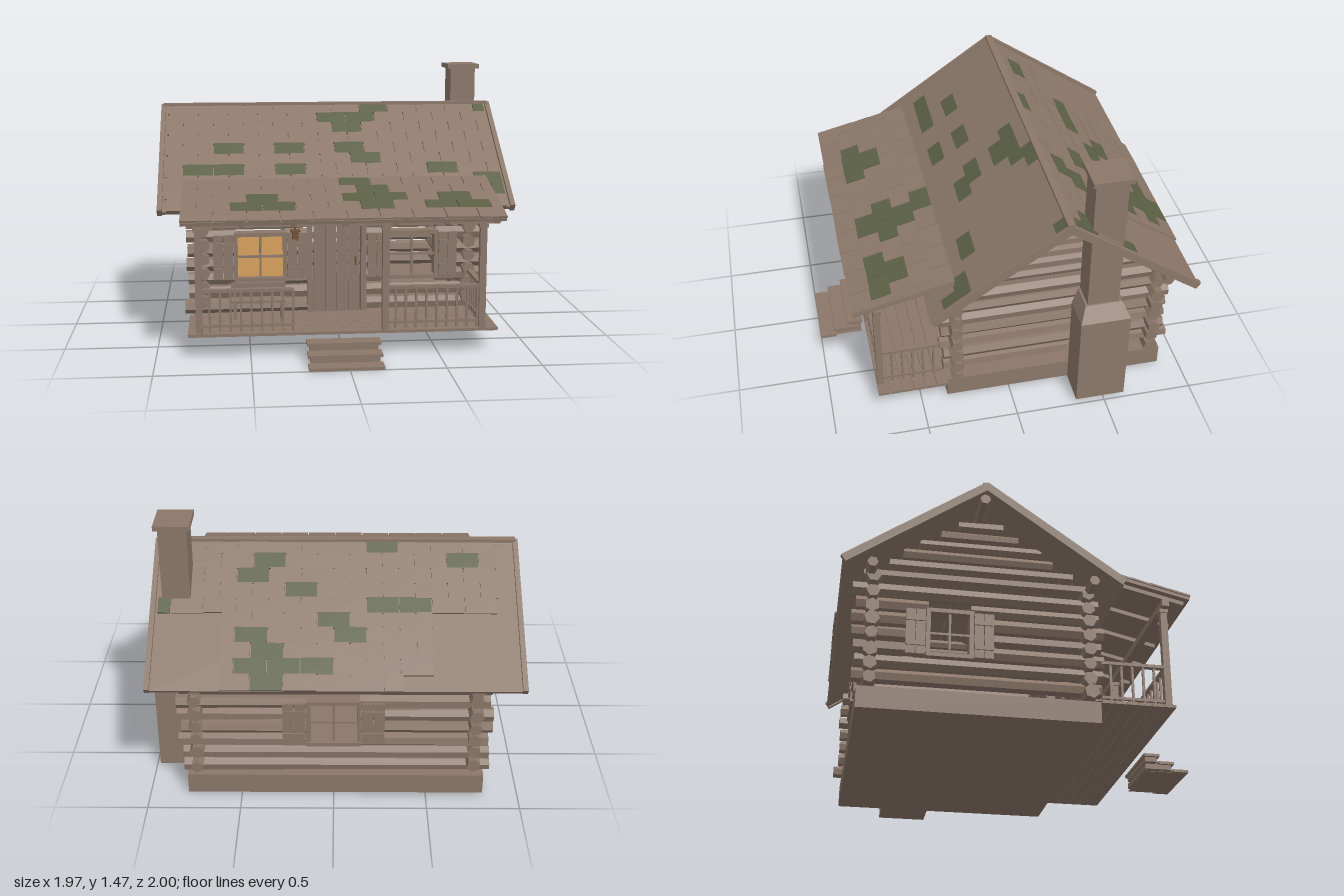
import * as THREE from 'three';
import { mergeGeometries } from 'three/addons/utils/BufferGeometryUtils.js';

const wood = new THREE.MeshStandardMaterial({ color: 0x8b7769 });
const moss = new THREE.MeshStandardMaterial({ color: 0x5b6045 });
const glow = new THREE.MeshStandardMaterial({ color: 0xd9a05c });
const brass = new THREE.MeshStandardMaterial({ color: 0x6e5238 });
wood.name = 'weatheredWood'; moss.name = 'moss'; glow.name = 'litGlass'; brass.name = 'agedMetal';

let seed = 7;
const rnd = () => (seed = (seed * 16807) % 2147483647) / 2147483647;
const jit = a => (rnd() - 0.5) * 2 * a;

// Box given by its limits
const box = (x0, x1, y0, y1, z0, z1) =>
  new THREE.BoxGeometry(x1 - x0, y1 - y0, z1 - z0).translate((x0 + x1) / 2, (y0 + y1) / 2, (z0 + z1) / 2);

// One flat-faced mesh from several pieces
function part(parent, name, material, pieces) {
  const geo = mergeGeometries(pieces.map(p => (p.index ? p.toNonIndexed() : p)));
  geo.computeVertexNormals();
  const mesh = new THREE.Mesh(geo, material);
  mesh.name = name;
  parent.add(mesh);
  return mesh;
}

// Rough hewn log from a to b along x or z
function log(axis, a, b, y, other, r) {
  const g = new THREE.CylinderGeometry(r * (1 + jit(0.1)), r * (1 + jit(0.1)), b - a, 6);
  g.rotateY(jit(0.5));
  if (axis === 'x') return g.rotateZ(Math.PI / 2).translate((a + b) / 2, y, other);
  return g.rotateX(Math.PI / 2).translate(other, y, (a + b) / 2);
}

// Stack of logs, cut where an opening [a, b, y0, y1] crosses it
function wall(axis, from, to, other, y0, count, openings) {
  const out = [];
  for (let i = 0; i < count; i++) {
    const y = y0 + i * 0.08;
    let start = from + jit(0.015);
    for (const [a, b, lo, hi] of openings) {
      if (y + 0.02 < lo || y - 0.02 > hi) continue;
      out.push(log(axis, start, a, y, other, 0.037));
      start = b;
    }
    out.push(log(axis, start, to + jit(0.015), y, other, 0.037));
  }
  return out;
}

// Window facing +z, centred on its own origin, with frame, muntins and shutters
function makeWindow(name, w, h, shutter, lit) {
  const g = new THREE.Group();
  g.name = name;
  const x = w / 2, y = h / 2, f = 0.022;
  part(g, 'windowFrame', wood, [
    box(-x - f, -x, -y - f, y + f, -0.03, 0.05), box(x, x + f, -y - f, y + f, -0.03, 0.05),
    box(-x, x, y, y + f, -0.03, 0.05), box(-x - f, x + f, -y - f, -y, -0.03, 0.06),
    box(-0.006, 0.006, -y, y, 0.02, 0.036), box(-x, x, -0.006, 0.006, 0.02, 0.036)]);
  const boards = [];
  for (const s of [-1, 1]) {
    const c = s * (x + f + shutter / 2 + 0.004), q = shutter / 2;
    boards.push(box(c - q, c - 0.002, -y - 0.01, y + 0.01, 0.036, 0.05),
      box(c + 0.002, c + q, -y - 0.01, y + 0.01, 0.036, 0.05));
    for (const v of [-0.6, 0.6]) boards.push(box(c - q, c + q, v * y - 0.012, v * y + 0.012, 0.05, 0.058));
  }
  part(g, 'shutters', wood, boards);
  if (lit) part(g, 'litPane', glow, [box(-x, x, -y, y, 0.012, 0.02)]);
  return g;
}

// Shingled slope: local z runs downhill from the top edge.
// mossAt[row] lists x positions of mossy shingles; range(row) gives the covered span.
function makeSlope(name, x0, x1, length, rows, mossAt, range) {
  const g = new THREE.Group();
  g.name = name;
  part(g, 'roofDeck', wood, [box(x0, x1, -0.026, -0.008, 0, length)]);
  const plain = [], mossy = [], step = length / rows, w = 0.172;
  for (let r = 0; r < rows; r++) {
    const [lo, hi] = range(r);
    for (let k = -7; k < 7; k++) {
      const a = Math.max(lo, (k + (r % 2) / 2) * w), b = Math.min(hi, (k + 1 + (r % 2) / 2) * w);
      if (b - a < 0.03) continue;
      const s = new THREE.BoxGeometry(b - a - 0.006, 0.01, step * 1.05).rotateX(-0.03 + jit(0.01));
      s.rotateX(0.03 + 0.02).translate((a + b) / 2, 0.001 + jit(0.001), (r + 0.5) * step + jit(0.003));
      ((mossAt[r] || []).some(m => m >= a && m < b) ? mossy : plain).push(s);
    }
  }
  part(g, 'shingles', wood, plain);
  part(g, 'mossyShingles', moss, mossy);
  return g;
}

export function createModel() {
  const cabin = new THREE.Group();
  cabin.name = 'logCabin';

  // Foundation, porch deck and steps
  part(cabin, 'foundation', wood, [box(-0.81, 0.79, 0.015, 0.13, -0.88, 0.355)]);
  const planks = [];
  for (let i = 0; i < 6; i++) planks.push(box(-0.83, 0.82, 0.118, 0.134, 0.355 + i * 0.065, 0.417 + i * 0.065));
  part(cabin, 'porchDeck', wood, planks);
  const steps = [];
  for (let i = 0; i < 3; i++) {
    const y = 0.015 + i * 0.042, z = 1 - i * 0.08;
    steps.push(box(-0.21, 0.18, y - 0.015, y, z - 0.09, z));
    steps.push(box(-0.195, 0.165, Math.max(0, y - 0.042), y - 0.015 + 0.002, 0.76, z - 0.012));
  }
  steps.push(box(-0.21, 0.18, 0.084, 0.099, 0.76, 0.84));
  part(cabin, 'steps', wood, steps);

  // Log walls with openings for door and windows
  const frontHoles = [[-0.57, -0.3, 0.33, 0.59], [-0.16, 0.14, 0.13, 0.66], [0.28, 0.55, 0.33, 0.59]];
  part(cabin, 'frontWall', wood, wall('x', -0.84, 0.82, 0.3, 0.17, 8, frontHoles));
  part(cabin, 'backWall', wood, wall('x', -0.84, 0.82, -0.82, 0.17, 8, [[-0.135, 0.135, 0.33, 0.59]]));
  part(cabin, 'leftWall', wood, wall('z', -0.91, 0.38, 0.73, 0.21, 7, []));
  part(cabin, 'rightWall', wood, wall('z', -0.91, 0.38, -0.75, 0.21, 7, [[-0.53, -0.31, 0.33, 0.59]]));
  for (const x of [-0.75, 0.73]) {
    const gable = [];
    for (let i = 0; i < 6; i++) {
      const y = 0.785 + i * 0.066, half = (1.2 - y) / 0.7;
      gable.push(log('z', -0.262 - half + jit(0.02), -0.262 + half + jit(0.02), y, x, 0.031));
    }
    part(cabin, 'gableLogs', wood, gable);
  }

  // Windows
  const windows = [
    makeWindow('litFrontWindow', 0.25, 0.23, 0.11, true), makeWindow('frontWindow', 0.25, 0.23, 0.1, false),
    makeWindow('backWindow', 0.25, 0.23, 0.12, false), makeWindow('sideWindow', 0.2, 0.23, 0.1, false)];
  const places = [[-0.435, 0.3, 0], [0.415, 0.3, 0], [0, -0.82, Math.PI], [-0.75, -0.42, -Math.PI / 2]];
  windows.forEach((w, i) => {
    const [x, z, turn] = places[i];
    w.position.set(x, 0.455, z);
    w.rotation.y = turn;
    cabin.add(w);
  });

  // Door
  const door = [];
  for (let i = 0; i < 4; i++) door.push(box(-0.138 + i * 0.065, -0.076 + i * 0.065, 0.135, 0.63, 0.325, 0.342));
  part(cabin, 'door', wood, door);
  part(cabin, 'doorFrame', wood, [box(-0.175, -0.145, 0.135, 0.63, 0.28, 0.35),
    box(0.127, 0.157, 0.135, 0.63, 0.28, 0.35), box(-0.175, 0.157, 0.63, 0.68, 0.28, 0.355)]);
  part(cabin, 'doorHandle', brass, [box(0.09, 0.1, 0.4, 0.45, 0.342, 0.355)]);
  part(cabin, 'lantern', brass, [box(-0.26, -0.225, 0.56, 0.6, 0.355, 0.39),
    box(-0.27, -0.215, 0.6, 0.61, 0.345, 0.4), box(-0.247, -0.238, 0.61, 0.625, 0.33, 0.38)]);

  // Porch posts, beam and railings
  const posts = [];
  for (const x of [-0.77, 0.215, 0.735])
    posts.push(box(x - 0.018, x + 0.018, 0.134, 0.7, 0.702, 0.738), box(x - 0.024, x + 0.024, 0.68, 0.7, 0.696, 0.744));
  part(cabin, 'porchPosts', wood, posts);
  part(cabin, 'porchBeam', wood, [box(-0.83, 0.815, 0.7, 0.735, 0.7, 0.74)]);
  const rails = [];
  for (const [a, b] of [[-0.77, -0.275], [0.215, 0.735]]) {
    rails.push(box(a, b, 0.355, 0.372, 0.705, 0.735), box(a, b, 0.165, 0.18, 0.712, 0.728));
    for (let x = a + 0.055; x < b + 0.01; x += 0.055) rails.push(box(x - 0.006, x + 0.006, 0.14, 0.36, 0.714, 0.726));
  }
  for (const x of [-0.77, 0.735]) {
    rails.push(box(x - 0.015, x + 0.015, 0.355, 0.372, 0.37, 0.72), box(x - 0.008, x + 0.008, 0.165, 0.18, 0.37, 0.72));
    for (let z = 0.42; z < 0.7; z += 0.058) rails.push(box(x - 0.006, x + 0.006, 0.14, 0.36, z - 0.006, z + 0.006));
  }
  part(cabin, 'railings', wood, rails);

  // Bench
  part(cabin, 'bench', wood, [box(-0.6, -0.3, 0.225, 0.24, 0.38, 0.475), box(-0.6, -0.3, 0.29, 0.32, 0.375, 0.387),
    box(-0.59, -0.57, 0.134, 0.32, 0.378, 0.392), box(-0.33, -0.31, 0.134, 0.32, 0.378, 0.392),
    box(-0.59, -0.57, 0.134, 0.226, 0.45, 0.47), box(-0.33, -0.31, 0.134, 0.226, 0.45, 0.47)]);

  // Main roof
  const run = 0.728, drop = 0.505, pitch = Math.atan2(drop, run), length = Math.hypot(run, drop);
  const frontMoss = [[0.25, 0.9], [0, 0.25], [0.08], [], [-0.6, -0.28, 0.08], [0.2], [-0.76, -0.6, -0.18, 0.6], [0.9], [0.9], [0.1]];
  const backMoss = [[0.27, -0.9], [0.72, -0.42, -0.9], [-0.42], [-0.16], [0.27, 0.44, -0.9], [0],
    [0.09, -0.42], [-0.34], [-0.08, -0.3, -0.45], [-0.34]];
  const front = makeSlope('frontRoof', -0.965, 0.94, length, 10, frontMoss, () => [-0.955, 0.93]);
  const back = makeSlope('backRoof', -0.94, 0.965, length, 10, backMoss,
    r => (r < 5 ? [-0.93, 0.87] : r === 9 ? [-0.59, 0.36] : [-0.59, 0.52]));
  back.rotation.order = 'YXZ';
  back.rotation.y = Math.PI;
  for (const slope of [front, back]) {
    const s = slope === front ? 1 : -1;
    part(slope, 'bargeBoards', wood, [-0.9665 - 0.0125 * s, 0.9665 - 0.0125 * s].map(x =>
      box(x - 0.0135, x + 0.0135, -0.035, 0.008, 0, length)));
    slope.position.set(0, 1.248, -0.265);
    slope.rotation.x = pitch;
    cabin.add(slope);
  }
  part(cabin, 'ridgeCap', wood, [box(-0.98, 0.955, 1.24, 1.258, -0.285, -0.245)]);
  part(cabin, 'roofPurlins', wood, [log('x', -0.94, 0.92, 1.185, -0.265, 0.028),
    log('x', -0.94, 0.92, 0.755, 0.31, 0.028), log('x', -0.94, 0.92, 0.755, -0.835, 0.028)]);

  // Porch roof
  const porchMoss = [[0.09], [0.17], [-0.43, 0.09, 0.22, 0.6], [-0.5, -0.35, 0.17, 0.52, 0.68], []];
  const porch = makeSlope('porchRoof', -0.855, 0.83, 0.55, 5, porchMoss, () => [-0.86, 0.835]);
  const rafters = [];
  for (let i = 0; i < 7; i++) rafters.push(box(-0.82 + i * 0.266, -0.795 + i * 0.266, -0.048, -0.026, 0.02, 0.53));
  part(porch, 'porchRafters', wood, rafters);
  porch.position.set(0, 0.883, 0.315);
  porch.rotation.x = Math.atan2(0.125, 0.535);
  cabin.add(porch);

  // Chimney with sloped shoulder and cap
  const shoulder = box(0.79, 0.98, 0.58, 0.655, -0.618, -0.342);
  const p = shoulder.attributes.position;
  for (let i = 0; i < p.count; i++) {
    if (p.getY(i) < 0.6) continue;
    p.setX(i, p.getX(i) > 0.9 ? 0.915 : 0.77);
    p.setZ(i, p.getZ(i) < -0.5 ? -0.585 : -0.38);
  }
  part(cabin, 'chimney', wood, [box(0.79, 0.98, 0.015, 0.58, -0.618, -0.342), shoulder,
    box(0.757, 0.907, 0.64, 1.445, -0.567, -0.393), box(0.737, 0.928, 1.445, 1.472, -0.588, -0.374)]);

  return cabin;
}
